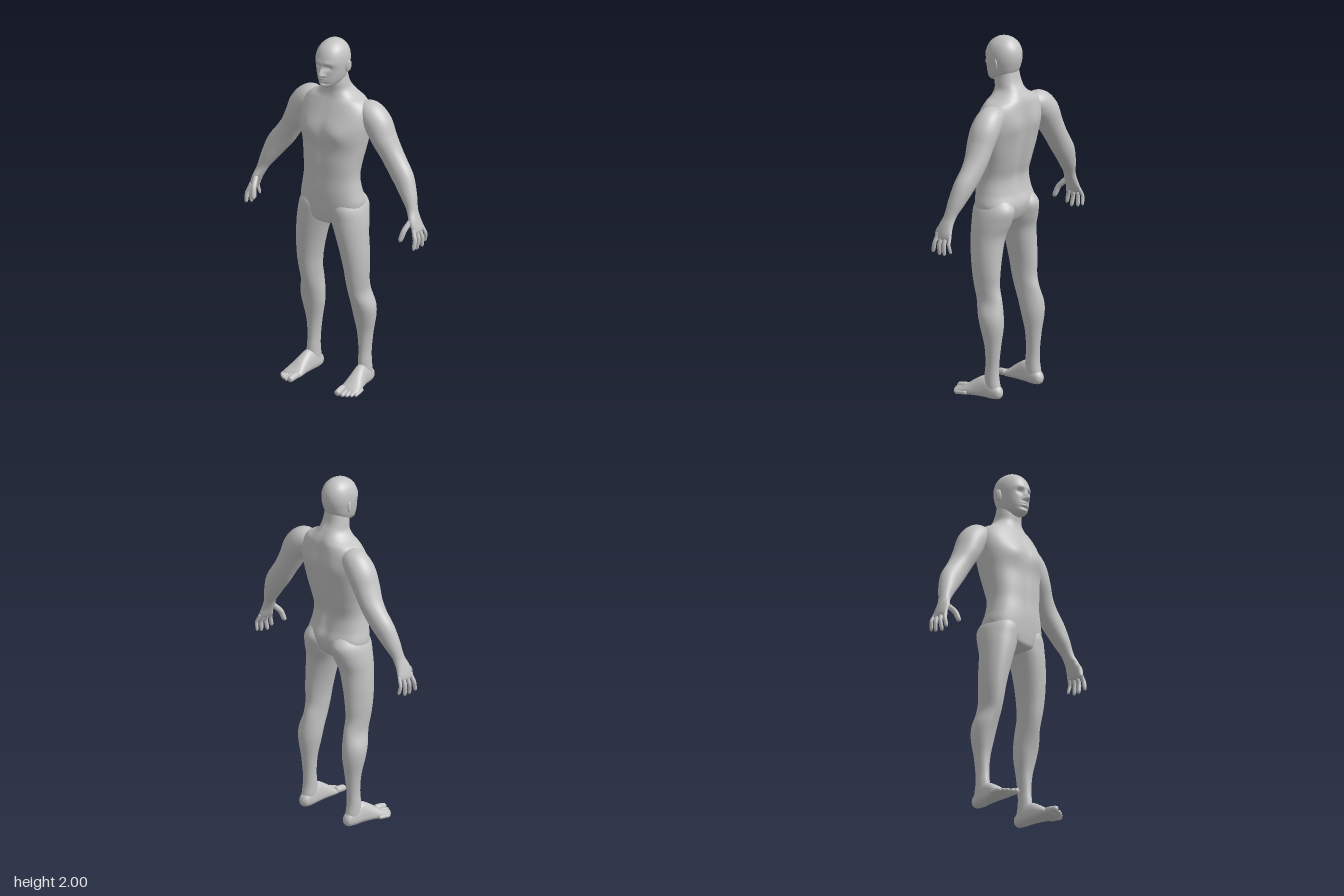
import * as THREE from 'three';

const skin = new THREE.MeshStandardMaterial({ color: 0xc4c4c4 });
skin.name = 'plain grey skin';

const gauss = (d, w) => Math.exp(-(d * d) / (w * w));
const spow = (v, e) => Math.sign(v) * Math.pow(Math.abs(v), e);

// Catmull-Rom blend of whole section rows
function blend(rows, i, t) {
  const at = k => rows[Math.max(0, Math.min(rows.length - 1, k))];
  const [a, b, c, d] = [at(i - 1), at(i), at(i + 1), at(i + 2)];
  return b.map((v, k) => v + 0.5 * t * (c[k] - a[k] + t * (2 * a[k] - 5 * v + 4 * c[k] - d[k]
    + t * (3 * (v - c[k]) + d[k] - a[k]))));
}

// Closed skin over sections [x, y, z, half width, reach along ref, reach against ref]
function loft(name, rows, { ref = [0, 0, 1], level = false, power = 2, seg = 32, steps = 5, sculpt } = {}) {
  const rings = [];
  for (let i = 0; i < rows.length - 1; i++)
    for (let s = 0; s < steps; s++) rings.push(blend(rows, i, s / steps));
  rings.push(rows[rows.length - 1]);
  const pos = [], index = [], n = rings.length;
  const centre = k => new THREE.Vector3(...rings[Math.max(0, Math.min(n - 1, k))].slice(0, 3));
  rings.forEach((r, k) => {
    const T = level ? new THREE.Vector3(0, -1, 0) : centre(k + 1).sub(centre(k - 1)).normalize();
    const W = new THREE.Vector3(...ref);
    W.addScaledVector(T, -W.dot(T)).normalize();
    const U = W.clone().cross(T);
    for (let j = 0; j < seg; j++) {
      const q = j / seg * Math.PI * 2, c = spow(Math.cos(q), 2 / power), s = spow(Math.sin(q), 2 / power);
      const p = centre(k).addScaledVector(U, r[3] * c).addScaledVector(W, s * (s > 0 ? r[4] : r[5]));
      if (sculpt) sculpt(p);
      pos.push(p.x, p.y, p.z);
    }
  });
  pos.push(...centre(0).toArray(), ...centre(n - 1).toArray());
  for (let j = 0; j < seg; j++) {
    const m = (j + 1) % seg;
    for (let k = 0; k < n - 1; k++) {
      const a = k * seg + j, b = k * seg + m;
      index.push(a, b, a + seg, b, b + seg, a + seg);
    }
    index.push(n * seg, m, j, n * seg + 1, (n - 1) * seg + j, (n - 1) * seg + m);
  }
  const geo = new THREE.BufferGeometry();
  geo.setAttribute('position', new THREE.Float32BufferAttribute(pos, 3));
  geo.setIndex(index);
  geo.computeVertexNormals();
  const mesh = new THREE.Mesh(geo, skin);
  mesh.name = name;
  return mesh;
}

// Finger or toe through three points, with a rounded tip
function digit(name, a, b, c, r, ref) {
  const mix = (p, q, t) => p.map((v, k) => v + (q[k] - v) * t);
  const row = (p, s) => [...p, r * s, r * s, r * s];
  return loft(name, [row(a, 0.9), row(mix(a, b, 0.5), 1), row(b, 1), row(mix(b, c, 0.6), 0.95),
    row(mix(b, c, 0.88), 0.7), row(c, 0.1)], { ref, seg: 12, steps: 3 });
}

// Spine furrow, shoulder blades, chest and midline
function sculptTorso(p) {
  const ax = Math.abs(p.x);
  if (p.z < -0.03) {
    p.z += 0.018 * gauss(p.x, 0.03) * gauss(p.y - 1.34, 0.3);
    p.z -= 0.012 * gauss(ax - 0.09, 0.05) * gauss(p.y - 1.54, 0.08);
  } else if (p.z > 0) {
    p.z += 0.012 * gauss(ax - 0.09, 0.06) * gauss(p.y - 1.49, 0.05);
    p.z -= 0.006 * gauss(p.x, 0.015) * gauss(p.y - 1.38, 0.2);
  }
}

// Brow, eye sockets, nose, lips and chin
function sculptFace(p) {
  if (p.z < 0.02) return;
  const ax = Math.abs(p.x), y = p.y;
  p.z -= 0.014 * gauss(ax - 0.032, 0.018) * gauss(y - 1.868, 0.014);
  p.z += 0.005 * gauss(ax - 0.03, 0.03) * gauss(y - 1.895, 0.012);
  const ridge = y > 1.828 ? gauss(y - 1.828, 0.034) : gauss(y - 1.828, 0.01);
  p.z += 0.032 * ridge * gauss(p.x, 0.013);
  p.z += 0.009 * gauss(ax - 0.014, 0.008) * gauss(y - 1.823, 0.009);
  p.z += 0.009 * gauss(p.x, 0.024) * (gauss(y - 1.802, 0.006) + gauss(y - 1.788, 0.006));
  p.z -= 0.004 * gauss(p.x, 0.03) * gauss(y - 1.776, 0.006);
  p.z += 0.006 * gauss(p.x, 0.02) * gauss(y - 1.76, 0.009);
}

export function createModel() {
  const body = new THREE.Group();
  body.name = 'standing figure';

  body.add(loft('head', [
    [0, 2.0, -0.02, 0.004, 0.004, 0.004],
    [0, 1.991, -0.019, 0.036, 0.045, 0.042],
    [0, 1.965, -0.017, 0.066, 0.081, 0.075],
    [0, 1.93, -0.015, 0.082, 0.1, 0.095],
    [0, 1.89, -0.015, 0.087, 0.109, 0.099],
    [0, 1.85, -0.015, 0.083, 0.106, 0.092],
    [0, 1.81, -0.012, 0.075, 0.102, 0.08],
    [0, 1.78, -0.002, 0.063, 0.09, 0.065],
    [0, 1.758, 0.025, 0.044, 0.06, 0.05],
    [0, 1.746, 0.04, 0.024, 0.032, 0.035],
    [0, 1.743, 0.045, 0.003, 0.003, 0.003],
  ], { level: true, power: 2.15, seg: 96, steps: 8, sculpt: sculptFace }));

  // Neck, trunk and pelvis in one skin
  body.add(loft('torso', [
    [0, 1.83, -0.03, 0.06, 0.05, 0.06],
    [0, 1.76, -0.035, 0.07, 0.063, 0.07],
    [0, 1.715, -0.045, 0.079, 0.07, 0.085],
    [0, 1.68, -0.055, 0.115, 0.085, 0.095],
    [0, 1.65, -0.06, 0.168, 0.102, 0.1],
    [0, 1.6, -0.06, 0.203, 0.125, 0.105],
    [0, 1.53, -0.05, 0.208, 0.145, 0.118],
    [0, 1.46, -0.04, 0.199, 0.145, 0.12],
    [0, 1.38, -0.03, 0.184, 0.13, 0.117],
    [0, 1.3, -0.01, 0.17, 0.112, 0.12],
    [0, 1.22, 0, 0.163, 0.102, 0.11],
    [0, 1.14, 0, 0.174, 0.106, 0.12],
    [0, 1.07, -0.01, 0.187, 0.114, 0.13],
    [0, 1.0, -0.01, 0.165, 0.108, 0.11],
    [0, 0.96, -0.005, 0.1, 0.09, 0.08],
    [0, 0.94, 0, 0.02, 0.03, 0.03],
  ], { level: true, power: 2.3, seg: 72, steps: 6, sculpt: sculptTorso }));

  for (const side of [1, -1]) {
    const label = side > 0 ? 'left' : 'right';
    const flip = rows => rows.map(r => [r[0] * side, ...r.slice(1)]);

    const ear = new THREE.Mesh(new THREE.SphereGeometry(1, 20, 14), skin);
    ear.name = label + ' ear';
    ear.scale.set(0.008, 0.034, 0.019);
    ear.position.set(side * 0.09, 1.858, -0.026);
    ear.rotation.set(-0.15, side * -0.45, side * -0.12);
    body.add(ear);

    body.add(loft(label + ' arm and palm', flip([
      [0.13, 1.6, -0.08, 0.045, 0.05, 0.05],
      [0.19, 1.588, -0.085, 0.073, 0.075, 0.07],
      [0.243, 1.538, -0.085, 0.077, 0.08, 0.08],
      [0.283, 1.462, -0.085, 0.068, 0.076, 0.077],
      [0.324, 1.388, -0.088, 0.062, 0.062, 0.07],
      [0.365, 1.325, -0.088, 0.063, 0.056, 0.06],
      [0.415, 1.258, -0.08, 0.061, 0.053, 0.054],
      [0.459, 1.18, -0.065, 0.045, 0.045, 0.046],
      [0.483, 1.13, -0.055, 0.033, 0.036, 0.037],
      [0.497, 1.095, -0.049, 0.027, 0.036, 0.036],
      [0.515, 1.055, -0.043, 0.023, 0.047, 0.043],
      [0.53, 1.018, -0.042, 0.019, 0.047, 0.05],
      [0.538, 0.995, -0.044, 0.014, 0.04, 0.045],
      [0.541, 0.985, -0.045, 0.004, 0.02, 0.025],
    ])));

    // Four fingers and the thumb
    for (let i = 0; i < 4; i++) {
      const z0 = -0.004 - 0.027 * i, z1 = 0.02 - 0.04 * i, drop = [0.01, 0, 0.005, 0.022][i];
      body.add(digit(label + ' finger ' + (i + 1), ...flip([
        [0.532, 1.015, z0], [0.551, 0.957 + drop * 0.5, (z0 + z1) / 2], [0.55 - 0.008 * (i % 2), 0.895 + drop, z1],
      ]), i === 3 ? 0.0095 : 0.0115, [0, 0, 1]));
    }
    body.add(digit(label + ' thumb', ...flip([
      [0.51, 1.065, -0.018], [0.494, 1.01, 0.03], [0.481, 0.95, 0.052],
    ]), 0.015, [0, 0, 1]));

    body.add(loft(label + ' leg', flip([
      [0.09, 1.13, -0.02, 0.05, 0.07, 0.07],
      [0.098, 1.06, -0.02, 0.09, 0.115, 0.128],
      [0.108, 0.98, -0.015, 0.1, 0.112, 0.118],
      [0.125, 0.9, -0.01, 0.09, 0.103, 0.095],
      [0.142, 0.8, -0.01, 0.078, 0.092, 0.09],
      [0.152, 0.7, -0.012, 0.066, 0.08, 0.088],
      [0.153, 0.62, -0.02, 0.058, 0.075, 0.08],
      [0.154, 0.55, -0.035, 0.054, 0.073, 0.083],
      [0.166, 0.47, -0.055, 0.065, 0.068, 0.078],
      [0.168, 0.4, -0.065, 0.062, 0.058, 0.07],
      [0.167, 0.3, -0.075, 0.044, 0.048, 0.046],
      [0.167, 0.2, -0.075, 0.034, 0.044, 0.036],
      [0.168, 0.13, -0.072, 0.035, 0.047, 0.038],
      [0.168, 0.07, -0.075, 0.036, 0.05, 0.045],
      [0.168, 0.03, -0.08, 0.03, 0.04, 0.04],
    ]), { level: true, seg: 40 }));

    body.add(loft(label + ' foot', flip([
      [0.165, 0.035, -0.136, 0.008, 0.01, 0.01],
      [0.166, 0.036, -0.122, 0.028, 0.032, 0.03],
      [0.168, 0.04, -0.08, 0.038, 0.06, 0.039],
      [0.172, 0.04, -0.03, 0.04, 0.082, 0.038],
      [0.18, 0.034, 0.03, 0.047, 0.058, 0.032],
      [0.187, 0.027, 0.08, 0.056, 0.03, 0.026],
      [0.189, 0.021, 0.112, 0.054, 0.016, 0.019],
      [0.189, 0.018, 0.13, 0.042, 0.004, 0.008],
    ]), { ref: [0, 1, 0], power: 2.2 }));

    // Toes, shortening outward
    [[0.154, 0.181, 0.019], [0.183, 0.175, 0.0125], [0.205, 0.164, 0.012],
      [0.225, 0.149, 0.0115], [0.241, 0.13, 0.011]].forEach(([x, z, r], i) => {
      body.add(digit(label + ' toe ' + (i + 1), ...flip([
        [x - 0.004, r + 0.01, z - 0.075], [x, r + 0.006, z - 0.035], [x + 0.002, r, z],
      ]), r, [0, 1, 0]));
    });
  }
  return body;
}
